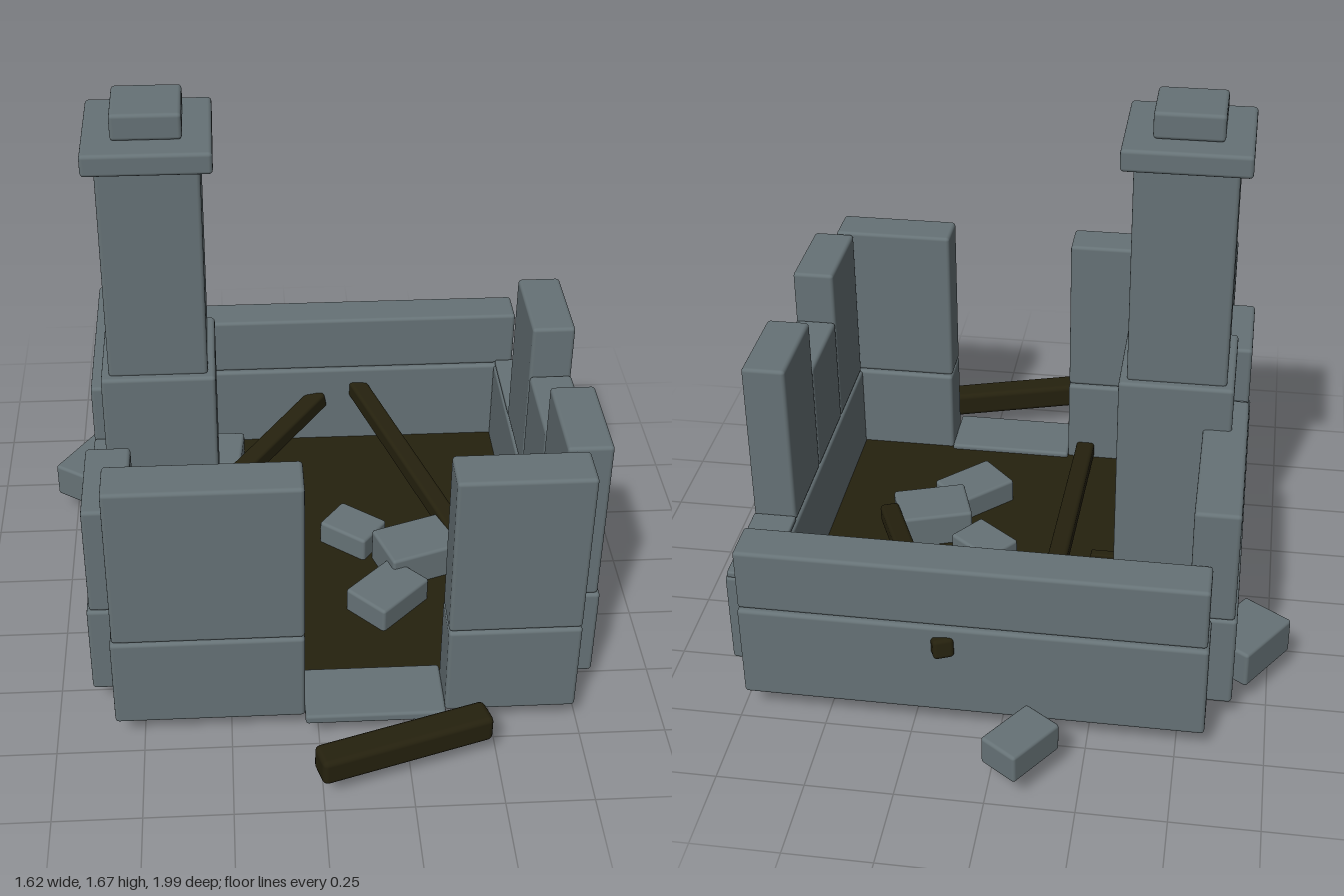
import * as THREE from 'three';
import { RoundedBoxGeometry } from 'three/addons/geometries/RoundedBoxGeometry.js';

export function createModel() {
  const group = new THREE.Group();
  const stone = new THREE.MeshStandardMaterial({ color: 0x667276 });
  stone.name = 'slate stone';
  const wood = new THREE.MeshStandardMaterial({ color: 0x25210e });
  wood.name = 'charred wood';

  const add = (name, geometry, material) => {
    const mesh = new THREE.Mesh(geometry, material);
    mesh.name = name;
    group.add(mesh);
    return mesh;
  };

  // Softly bevelled block given by its extents
  const block = (name, x0, x1, y0, y1, z0, z1, material = stone) => {
    const w = x1 - x0, h = y1 - y0, d = z1 - z0;
    const radius = Math.min(0.011, Math.min(w, h, d) * 0.3);
    add(name, new RoundedBoxGeometry(w, h, d, 2, radius), material)
      .position.set((x0 + x1) / 2, (y0 + y1) / 2, (z0 + z1) / 2);
  };

  // Floor and doorstep
  add('floor', new THREE.BoxGeometry(1.2, 0.014, 1.2), wood).position.set(0.08, 0.097, -0.01);
  block('threshold', -0.04, 0.36, 0.09, 0.12, 0.56, 0.755);

  // Foundation course
  const low = 0.09, mid = 0.385;
  block('frontFoundation', -0.58, -0.04, low, mid, 0.575, 0.72);
  block('frontFoundation', 0.36, 0.735, low, mid, 0.575, 0.72);
  block('backFoundation', -0.58, 0.735, low, mid, -0.74, -0.595);
  block('sideFoundation', -0.65, -0.51, low, mid, -0.6, 0.58);
  block('sideFoundation', 0.67, 0.81, low, mid, -0.6, 0.58);

  // Broken upper walls
  block('frontWall', -0.575, -0.04, mid, 0.905, 0.585, 0.715);
  block('frontWall', 0.36, 0.735, mid, 0.905, 0.585, 0.715);
  block('backWall', -0.575, 0.735, mid, 0.577, -0.73, -0.605);
  [[-0.6, -0.306, 0.405], [-0.306, -0.012, 0.905], [-0.012, 0.282, 0.74], [0.282, 0.577, 0.905]]
    .forEach(([z0, z1, top]) => block('rightWallBlock', 0.675, 0.803, mid, top, z0, z1));
  [[-0.6, -0.012, 0.74], [-0.012, 0.282, 0.56], [0.282, 0.577, 0.74]]
    .forEach(([z0, z1, top]) => block('leftWallBlock', -0.643, -0.515, mid, top, z0, z1));

  // Chimney: half width, bottom, top
  const cx = -0.4325, cz = -0.02;
  [['chimneyBase', 0.165, 0.09, 0.875], ['chimneyShaft', 0.143, 0.87, 1.537],
    ['chimneyCap', 0.177, 1.535, 1.6], ['chimneyPot', 0.097, 1.6, 1.678]]
    .forEach(([name, r, y0, y1]) => block(name, cx - r, cx + r, y0, y1, cz - r, cz + r));

  // Fallen stones: x, z, width, height, depth, turn
  [[-0.085, -0.89, 0.125, 0.09, 0.185, -0.61],
    [-0.68, -0.39, 0.165, 0.115, 0.22, -0.59],
    [-0.265, -0.45, 0.147, 0.09, 0.18, -0.1],
    [-0.51, -0.4, 0.12, 0.09, 0.18, -0.1],
    [-0.13, -0.27, 0.105, 0.07, 0.145, -0.61],
    [0.152, -0.035, 0.17, 0.09, 0.13, -0.66],
    [0.34, 0.09, 0.23, 0.12, 0.17, 0.33],
    [0.235, 0.27, 0.21, 0.09, 0.155, 0.77]]
    .forEach(([x, z, w, h, d, turn]) => {
      const rubble = add('rubble', new RoundedBoxGeometry(w, h, d, 2, 0.01), stone);
      rubble.position.set(x, 0.091 + h / 2, z);
      rubble.rotation.y = turn;
    });

  // Charred beams: from, to, thickness
  [[[-0.015, 0.133, 0.952], [0.472, 0.133, 0.803], 0.085],
    [[-0.575, 0.035, 0.065], [0.08, 0.265, -0.615], 0.062],
    [[0.145, 0.328, -0.76], [0.475, 0.185, 0.055], 0.06],
    [[-0.085, 0.15, -0.125], [-0.1, 0.13, 0.6], 0.06],
    [[-0.4, 0.14, -0.03], [-0.185, 0.14, -0.03], 0.03]]
    .forEach(([from, to, t]) => {
      const a = new THREE.Vector3(...from), b = new THREE.Vector3(...to);
      const beam = add('fallenBeam', new RoundedBoxGeometry(t, t, a.distanceTo(b), 2, t * 0.2), wood);
      beam.position.copy(a).add(b).multiplyScalar(0.5);
      beam.lookAt(b);
    });

  return group;
}
